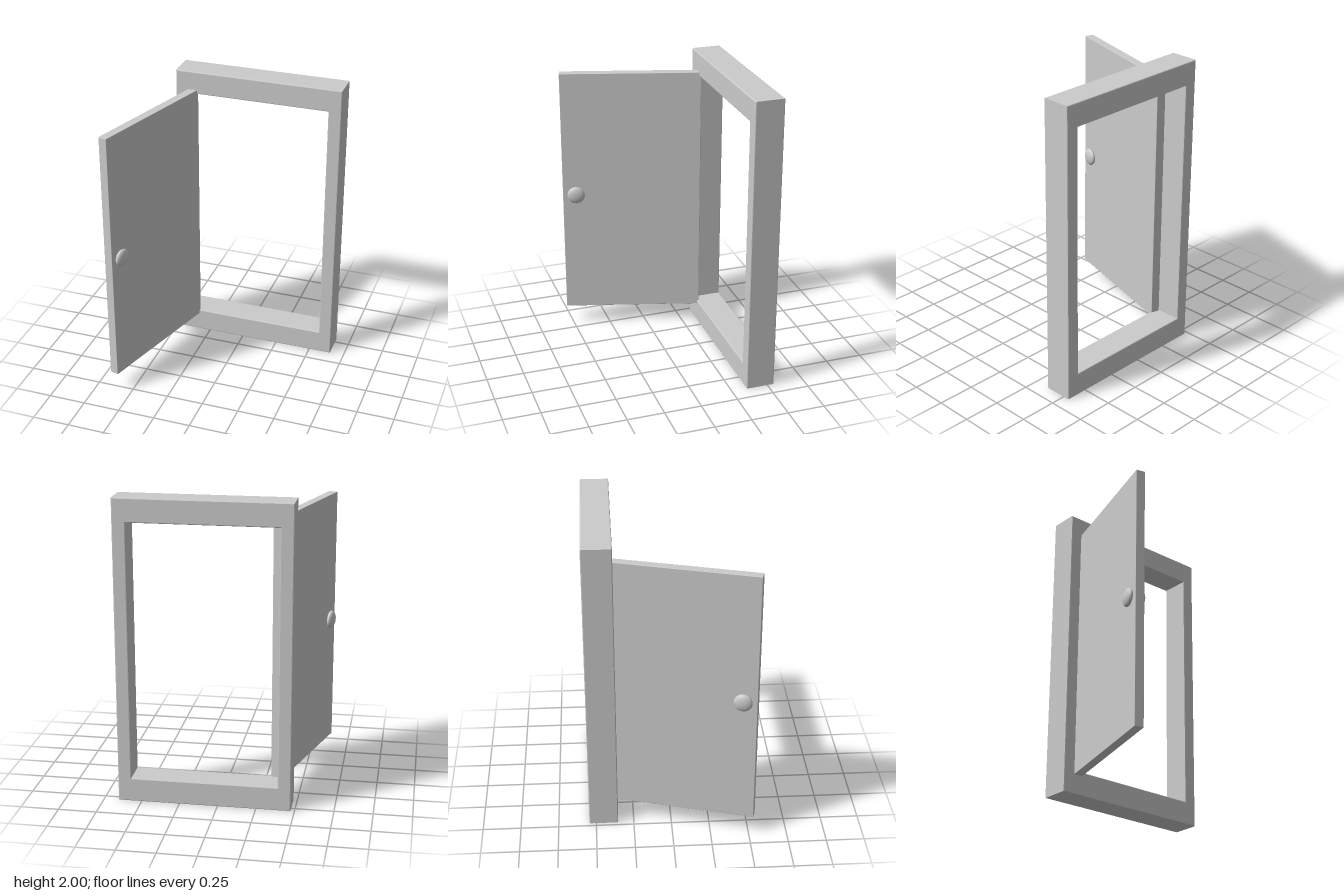
import * as THREE from 'three';
import { RoundedBoxGeometry } from 'three/addons/geometries/RoundedBoxGeometry.js';

const grey = new THREE.MeshStandardMaterial({ color: 0xcccccc });

function addMesh(parent, name, geometry, x = 0, y = 0, z = 0) {
  const mesh = new THREE.Mesh(geometry, grey);
  mesh.name = name;
  mesh.position.set(x, y, z);
  parent.add(mesh);
  return mesh;
}

// Rectangular outline from its left, bottom, right and top edges
function rectangle(PathType, l, b, r, t) {
  return new PathType([[l, b], [r, b], [r, t], [l, t]].map(([x, y]) => new THREE.Vector2(x, y)));
}

export function createModel() {
  const model = new THREE.Group();
  model.name = 'openDoor';

  // Frame: one rectangular border with fine softened edges
  const bevel = 0.006;
  const depth = 0.192;
  const outline = rectangle(THREE.Shape, -0.475, 0, 0.652, 2);
  outline.holes.push(rectangle(THREE.Path, -0.39, 0.157, 0.566, 1.847));
  const frame = new THREE.ExtrudeGeometry(outline, {
    depth: depth - 2 * bevel,
    bevelThickness: bevel,
    bevelSize: bevel,
    bevelOffset: -bevel,
    bevelSegments: 2,
  });
  addMesh(model, 'frame', frame, 0, 0, -0.546 + bevel);

  // Leaf swung open about its hinge edge; local z runs along its width
  const door = new THREE.Group();
  door.name = 'door';
  door.position.set(-0.486, 1.003, 0.081);
  door.rotation.y = -0.282;
  model.add(door);
  addMesh(door, 'doorLeaf', new RoundedBoxGeometry(0.06, 1.744, 0.946, 2, 0.003));

  // Flattened knob on each face
  for (const side of [-1, 1]) {
    const knob = addMesh(door, side > 0 ? 'innerKnob' : 'outerKnob',
      new THREE.SphereGeometry(1, 32, 20), side * 0.04, 0, 0.382);
    knob.scale.set(0.025, 0.06, 0.06);
  }
  return model;
}
